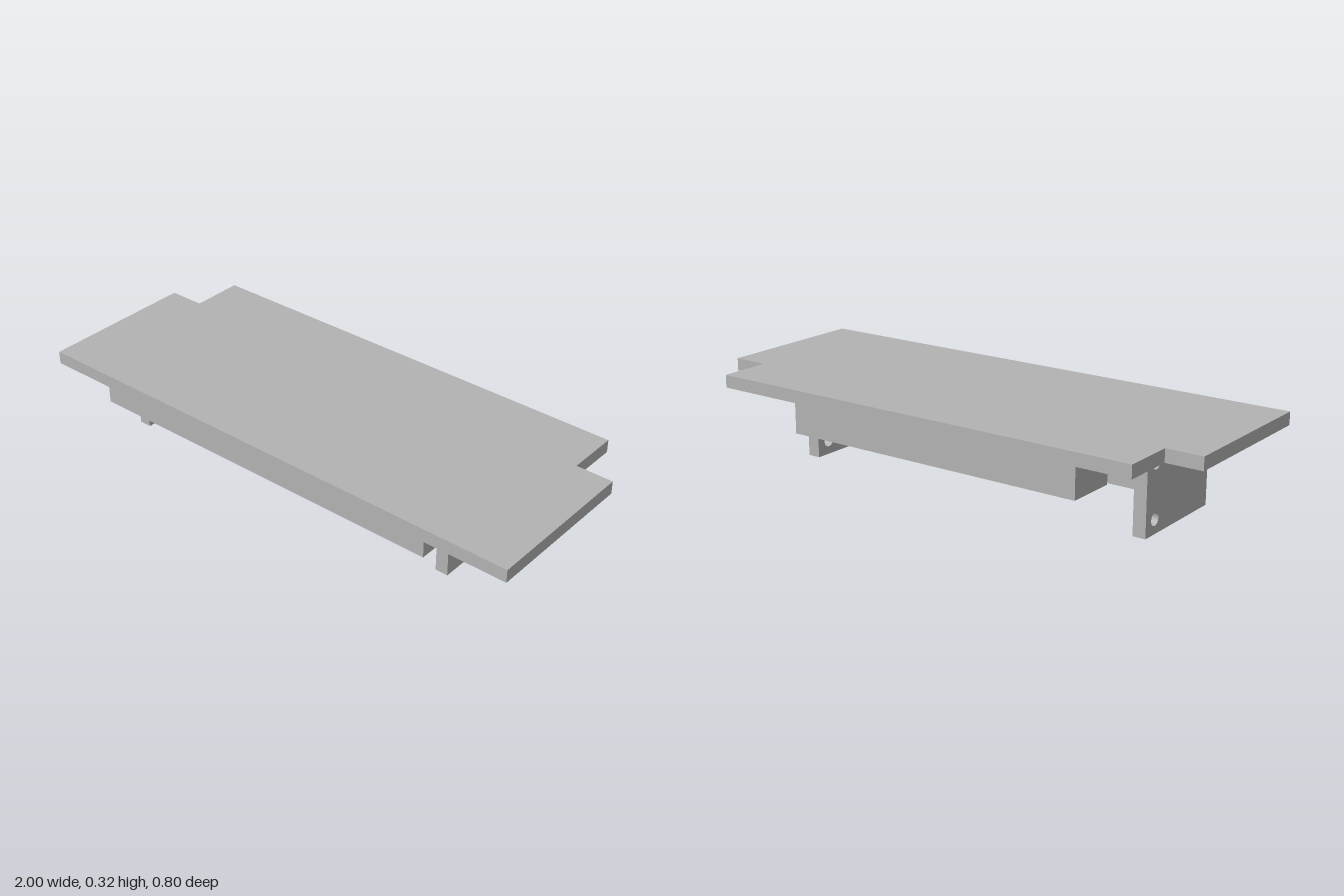
import * as THREE from 'three';

const TOP = 0.32, DECK = 0.272, RAIL = 0.16, WALL = 0.048;

export function createModel() {
  const model = new THREE.Group();
  model.name = 'bracketedShelf';
  const grey = new THREE.MeshStandardMaterial({ color: 0xb2b2b2 });
  grey.name = 'plain grey';

  const add = (name, geometry) => {
    const mesh = new THREE.Mesh(geometry, grey);
    mesh.name = name;
    model.add(mesh);
    return mesh;
  };
  const box = (name, x0, x1, y0, y1, z0, z1) => add(name,
    new THREE.BoxGeometry(x1 - x0, y1 - y0, z1 - z0)
      .translate((x0 + x1) / 2, (y0 + y1) / 2, (z0 + z1) / 2));
  const outline = (points) => new THREE.Shape(points.map(([a, b]) => new THREE.Vector2(a, b)));

  // Top plate with notched back corners (shape drawn in x and -z)
  const plate = outline([[-1, -0.398], [1, -0.398], [1, 0.2], [0.862, 0.2],
    [0.862, 0.398], [-0.862, 0.398], [-0.862, 0.2], [-1, 0.2]]);
  add('topPlate', new THREE.ExtrudeGeometry(plate, { depth: TOP - DECK, bevelEnabled: false })
    .rotateX(-Math.PI / 2).translate(0, DECK, 0));

  // Side brackets with a forward tab and two bolt holes (shape drawn in z and y)
  const bracket = outline([[-0.195, 0], [0.205, 0], [0.205, RAIL], [0.345, RAIL],
    [0.345, DECK], [-0.195, DECK]]);
  for (const y of [0.052, 0.244]) {
    const hole = new THREE.Path();
    hole.absarc(-0.139, y, 0.023, 0, Math.PI * 2, true);
    bracket.holes.push(hole);
  }
  const bracketGeometry = new THREE.ExtrudeGeometry(bracket,
    { depth: WALL, bevelEnabled: false, curveSegments: 24 }).rotateY(-Math.PI / 2);
  add('leftBracket', bracketGeometry).position.x = 0.65;
  add('rightBracket', bracketGeometry).position.x = -0.8 + WALL;

  // Front rail between the brackets
  box('frontRail', -0.8 + WALL, 0.65 - WALL, RAIL, DECK, 0.345 - WALL, 0.345);

  // Short inward flanges behind the brackets
  box('leftFlange', 0.52 - WALL, 0.65 - WALL, RAIL, DECK, -0.195, -0.149);
  box('rightFlange', -0.8 + WALL, -0.66 + WALL, RAIL, DECK, -0.195, -0.149);

  // Narrower back tray: rail and two end walls
  box('backRail', -0.66, 0.52, RAIL, DECK, -0.398, -0.398 + WALL);
  box('leftBackWall', 0.52 - WALL, 0.52, RAIL, DECK, -0.398 + WALL, -0.208);
  box('rightBackWall', -0.66, -0.66 + WALL, RAIL, DECK, -0.398 + WALL, -0.208);

  return model;
}
